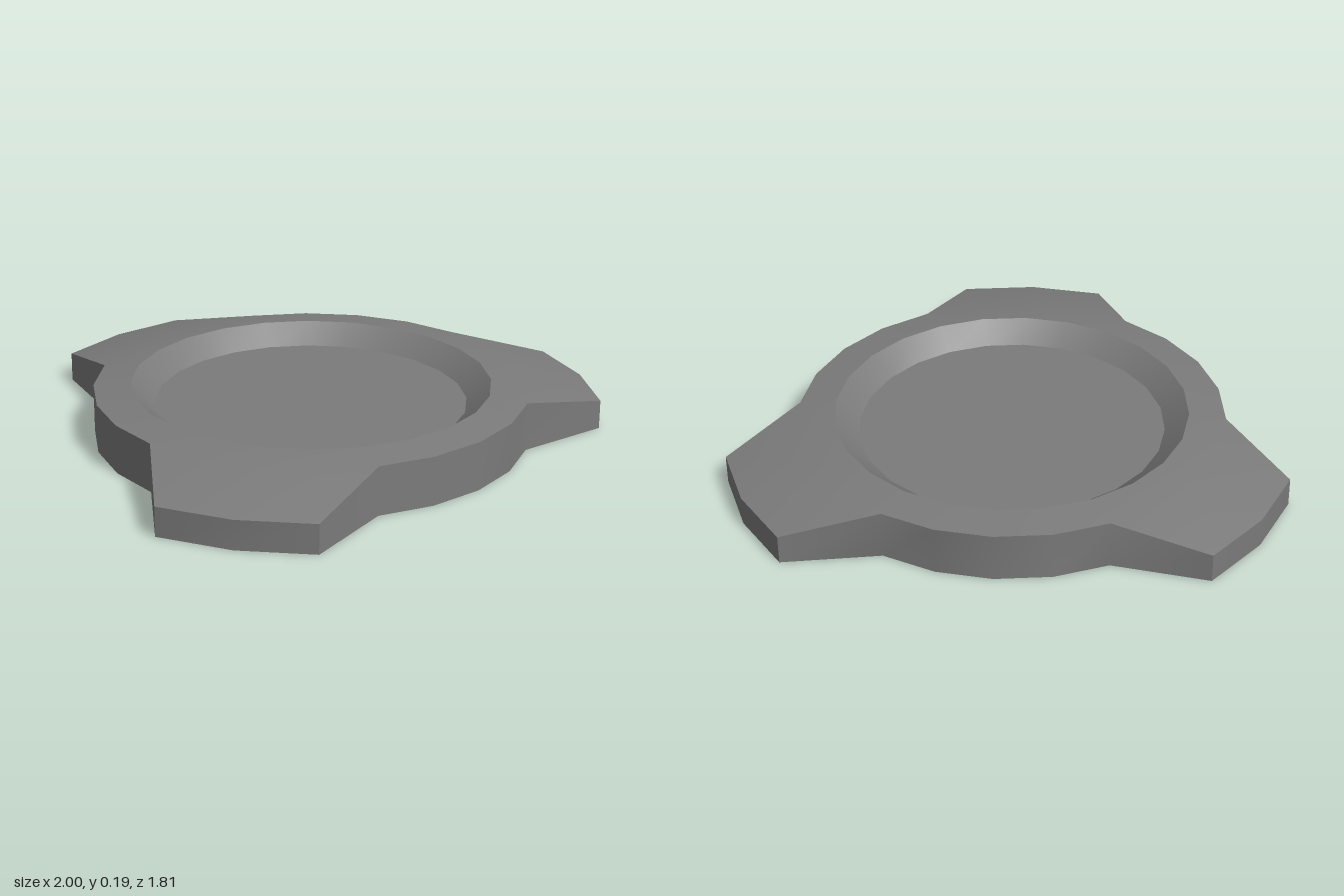
import * as THREE from 'three';
import { toCreasedNormals } from 'three/addons/utils/BufferGeometryUtils.js';

const SIDES = 24;
const CENTRE_Z = 0.131;
const RING = 0.773; // radius of the round body
const ARM = 1.035;  // radius of the three arm tips

// every eighth side and its two neighbours form an arm tip
const isArm = (i) => [0, 1, 7].includes(i % 8);

// closed cross-section from the underside centre, around the rim, to the dish centre
const profile = [
  () => [0, 0],
  (i) => [isArm(i) ? ARM : RING, 0],                       // bottom outline
  (i) => (isArm(i) ? [ARM, 0.105] : [RING, 0.175]),        // top of the outer wall
  () => [RING, 0.175],                                     // shoulder where arms start to drop
  () => [0.64, 0.19],                                      // crest of the dish
  () => [0.555, 0.12],                                     // edge of the dish floor
  () => [0, 0.12],
];

// the modulo closes the seam exactly
function pointAt(level, index) {
  const i = index % SIDES;
  const [r, y] = profile[level](i);
  const a = (i / SIDES) * Math.PI * 2;
  return new THREE.Vector3(r * Math.sin(a), y, CENTRE_Z - r * Math.cos(a));
}

function bodyGeometry() {
  const positions = [];
  // adds a triangle unless it has collapsed to a line or point
  const addTriangle = (a, b, c) => {
    if (new THREE.Triangle(a, b, c).getArea() < 1e-6) return;
    for (const p of [a, b, c]) positions.push(p.x, p.y, p.z);
  };
  for (let k = 0; k < profile.length - 1; k++) {
    for (let i = 0; i < SIDES; i++) {
      const a = pointAt(k, i), b = pointAt(k, i + 1);
      const c = pointAt(k + 1, i), d = pointAt(k + 1, i + 1);
      addTriangle(b, a, c);
      addTriangle(b, c, d);
    }
  }
  const geometry = new THREE.BufferGeometry();
  geometry.setAttribute('position', new THREE.Float32BufferAttribute(positions, 3));
  return toCreasedNormals(geometry, THREE.MathUtils.degToRad(36));
}

export function createModel() {
  const group = new THREE.Group();
  group.name = 'threeArmedDish';
  const material = new THREE.MeshStandardMaterial({ color: 0x7b7b7b });
  const body = new THREE.Mesh(bodyGeometry(), material);
  body.name = 'dishBody';
  group.add(body);
  return group;
}
